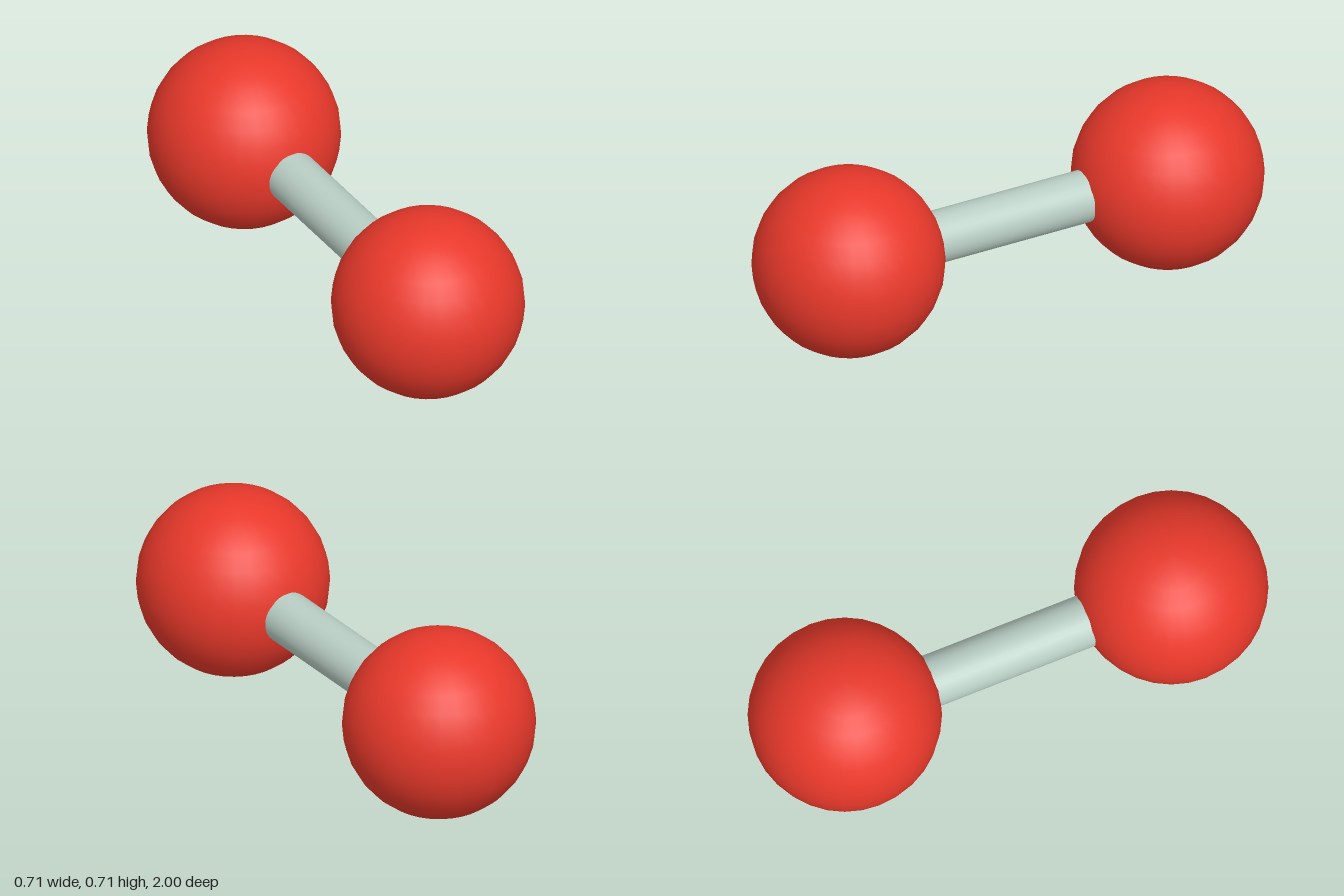
import * as THREE from 'three';

const RADIUS = 0.355;       // ball radius, also the height of the centre line
const OFFSET = 1 - RADIUS;  // ball centre along z

export function createModel() {
  const model = new THREE.Group();
  model.name = 'twoBallMolecule';

  const red = new THREE.MeshStandardMaterial({ color: 0xe8382a });
  const paleGreen = new THREE.MeshStandardMaterial({ color: 0xb9cec4 });

  // Two equal balls, front and back
  const ballGeometry = new THREE.SphereGeometry(RADIUS, 32, 16);
  for (const [name, side] of [['frontBall', 1], ['backBall', -1]]) {
    const ball = new THREE.Mesh(ballGeometry, red);
    ball.name = name;
    ball.position.set(0, RADIUS, side * OFFSET);
    model.add(ball);
  }

  // Rod joining the ball centres
  const rod = new THREE.Mesh(new THREE.CylinderGeometry(0.098, 0.098, 2 * OFFSET, 32), paleGreen);
  rod.name = 'connectingRod';
  rod.rotation.x = Math.PI / 2;
  rod.position.y = RADIUS;
  model.add(rod);

  return model;
}
